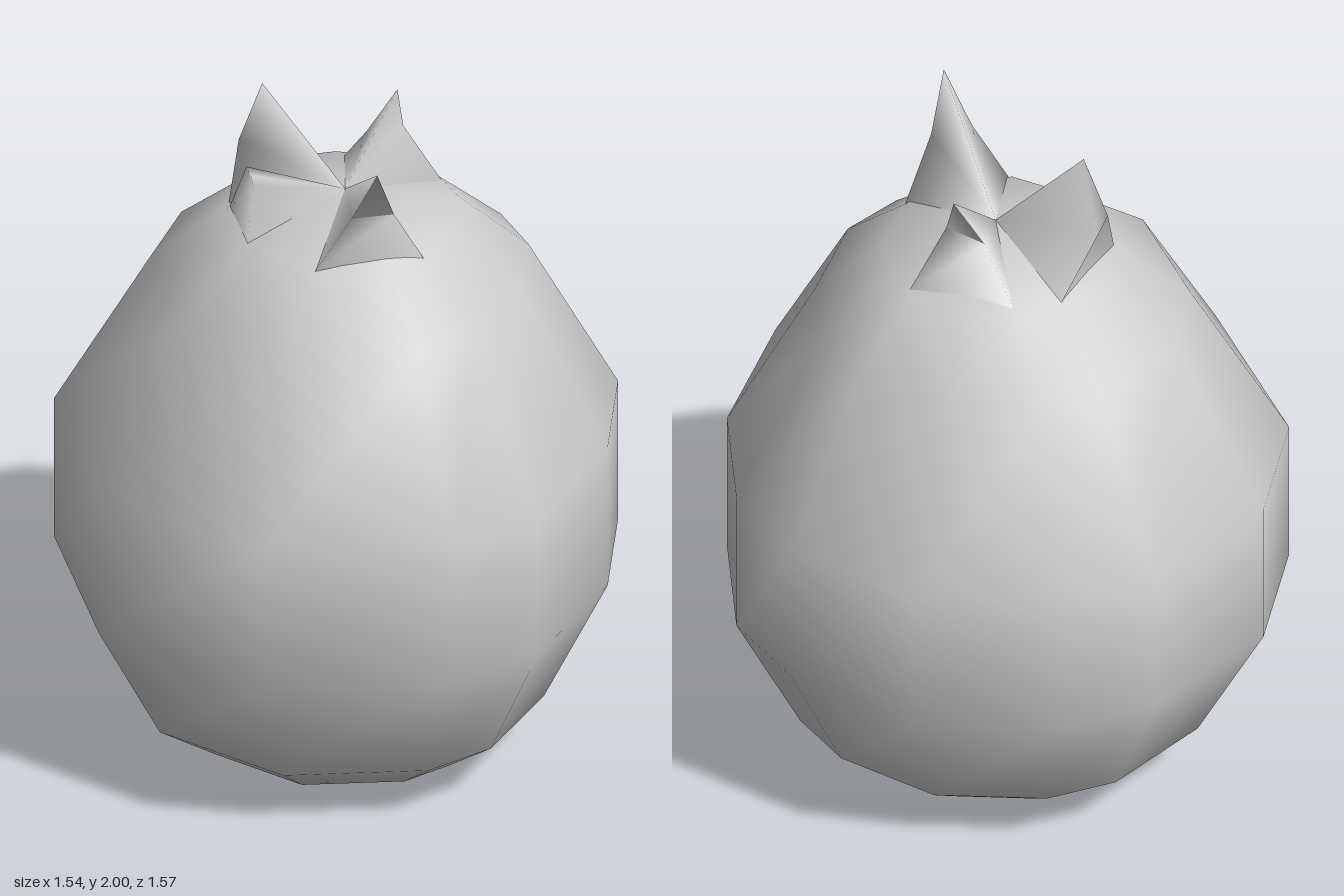
import * as THREE from 'three';

const skin = new THREE.MeshStandardMaterial({ color: 0xcccccc, side: THREE.DoubleSide });
skin.name = 'pale grey skin';

const CENTRE = [-0.01, 1.73, 0.02];

function smoothMesh(name, points, faces) {
  const g = new THREE.BufferGeometry();
  g.setAttribute('position', new THREE.Float32BufferAttribute(points.flat(), 3));
  g.setIndex(faces.flat());
  g.computeVertexNormals();
  const mesh = new THREE.Mesh(g, skin);
  mesh.name = name;
  return mesh;
}

// Fruit: an uneven twelve-sided outline (x, z), scaled ring by ring up the height
function createBody() {
  const outline = [
    [-0.18, -0.78], [0.09, -0.785], [0.47, -0.62], [0.71, -0.29], [0.77, -0.02], [0.665, 0.335],
    [0.395, 0.67], [0.14, 0.78], [-0.39, 0.705], [-0.765, 0.30], [-0.775, -0.25], [-0.575, -0.58],
  ];
  // [height, scale]
  const rings = [[0.01, 0.26], [0.05, 0.53], [0.18, 0.755], [0.56, 1], [1.0, 1], [1.47, 0.67], [1.65, 0.41]];
  const n = outline.length;
  const points = [], faces = [];
  for (const [y, s] of rings) for (const [x, z] of outline) points.push([x * s, y, z * s]);
  const bottom = points.push([0, 0, 0]) - 1;
  const top = points.push(CENTRE) - 1;
  const last = (rings.length - 1) * n;
  for (let j = 0; j < n; j++) {
    const k = (j + 1) % n;
    for (let i = 0; i < rings.length - 1; i++) {
      const a = i * n + j, b = i * n + k;
      faces.push([a, a + n, b], [b, a + n, b + n]);
    }
    faces.push([bottom, j, k], [last + j, top, last + k]);
  }
  return smoothMesh('fruitBody', points, faces);
}

// Crown lobe: outer skin from two base corners through two shoulders to a tip,
// with sides folding back to the centre of the crown
function createLobe(name, baseA, baseB, shoulderA, shoulderB, tip) {
  const points = [baseA, baseB, shoulderA, shoulderB, tip, CENTRE];
  const faces = [
    [0, 1, 3], [0, 3, 2], [2, 3, 4],
    [0, 2, 5], [2, 4, 5], [1, 5, 3], [3, 5, 4],
  ];
  return smoothMesh(name, points, faces);
}

export function createModel() {
  const model = new THREE.Group();
  model.name = 'fruit';
  model.add(createBody());

  // Crown, corners listed anticlockwise as seen from outside
  const crown = new THREE.Group();
  crown.name = 'crown';
  crown.add(
    createLobe('frontLobe', [-0.155, 1.64, 0.30], [0.155, 1.64, 0.29],
      [-0.06, 1.82, 0.34], [0.06, 1.82, 0.34], [0, 1.985, 0.40]),
    createLobe('leftLobe', [0.29, 1.65, -0.10], [0.05, 1.64, -0.30],
      [0.18, 1.84, -0.10], [0.09, 1.80, -0.16], [0.17, 1.94, -0.13]),
    createLobe('backLobe', [-0.075, 1.64, -0.305], [-0.315, 1.64, -0.10],
      [-0.20, 1.84, -0.28], [-0.27, 1.81, -0.17], [-0.21, 2.0, -0.14]),
    createLobe('rightLobe', [-0.315, 1.64, -0.09], [-0.31, 1.64, 0.13],
      [-0.28, 1.81, -0.02], [-0.28, 1.80, 0.07], [-0.28, 1.815, 0.04]),
  );
  model.add(crown);
  return model;
}
